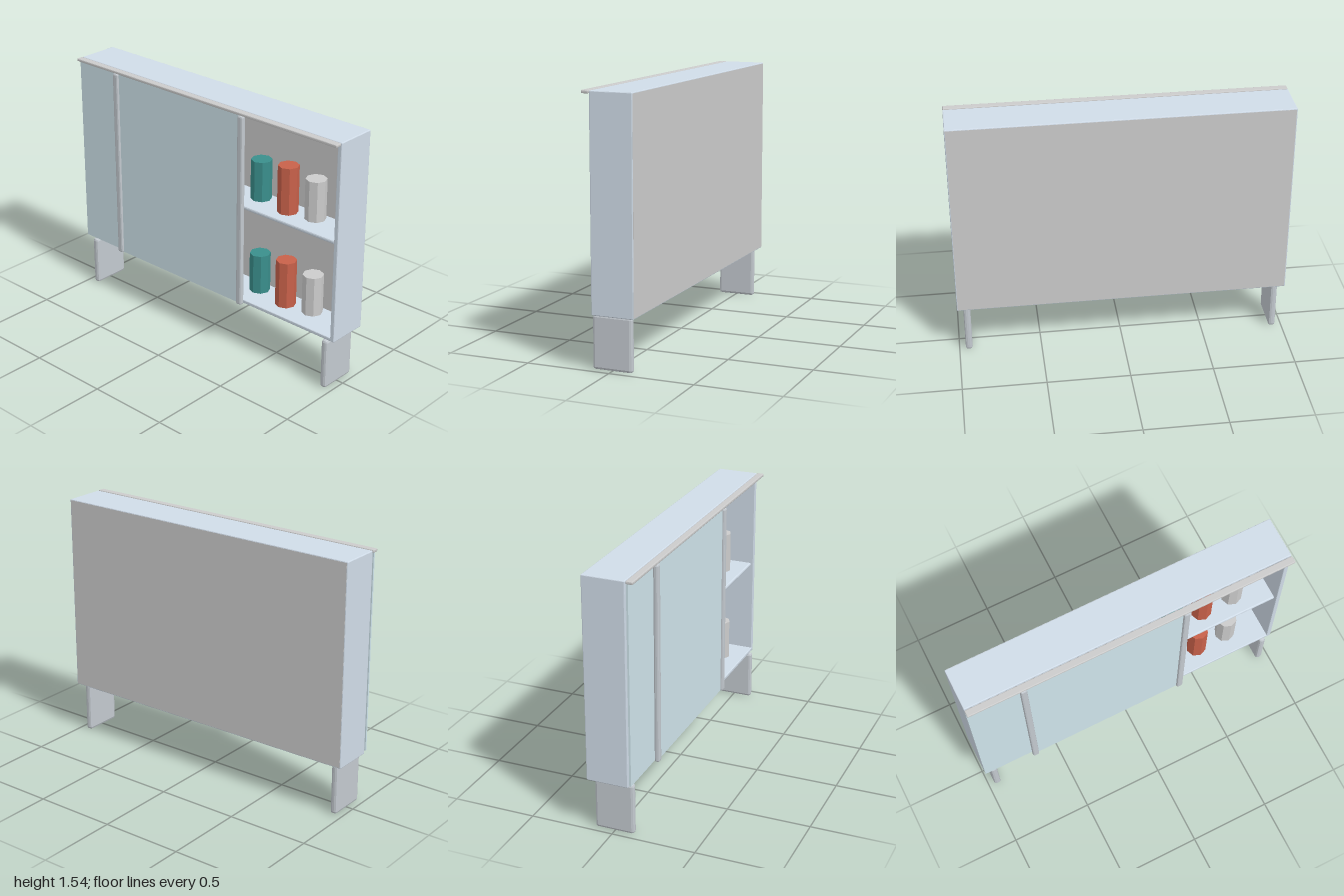
import * as THREE from 'three';
import { RoundedBoxGeometry } from 'three/addons/geometries/RoundedBoxGeometry.js';

const mat = (color) => new THREE.MeshStandardMaterial({ color, flatShading: true });

export function createModel() {
  const group = new THREE.Group();
  const grey = mat(0xcccccc);
  const casing = mat(0xd0dce8);
  const legPaint = mat(0xc3c9cf);
  const glass = mat(0xcfe4eb);
  const teal = mat(0x3a8f8c);
  const red = mat(0xc8614a);

  // Box given by its limits on each axis; a bevel chamfers its edges
  function box(name, material, [x0, x1], [y0, y1], [z0, z1], bevel = 0) {
    const size = [x1 - x0, y1 - y0, z1 - z0];
    const geometry = bevel
      ? new RoundedBoxGeometry(...size, 1, bevel)
      : new THREE.BoxGeometry(...size);
    const mesh = new THREE.Mesh(geometry, material);
    mesh.name = name;
    mesh.position.set((x0 + x1) / 2, (y0 + y1) / 2, (z0 + z1) / 2);
    group.add(mesh);
  }

  // Cabinet casing
  const depth = [-0.149, 0.103];
  box('topPanel', casing, [-1, 1], [1.515, 1.535], depth, 0.005);
  box('bottomPanel', casing, [-1, 1], [0.314, 0.336], depth, 0.005);
  box('leftSide', casing, [0.972, 1], [0.314, 1.535], depth, 0.005);
  box('rightSide', casing, [-1, -0.972], [0.314, 1.535], depth, 0.005);
  box('backPanel', grey, [-0.994, 0.994], [0.32, 1.529], [-0.15, -0.138]);
  box('shelf', casing, [-0.967, 0.967], [0.917, 0.94], [-0.138, 0.09], 0.008);

  // Slab legs
  for (const side of [-1, 1]) {
    const x = 0.941 * side;
    box(side > 0 ? 'leftLeg' : 'rightLeg', legPaint, [x - 0.021, x + 0.021], [0, 0.312], [-0.12, 0.117], 0.015);
  }

  // Sliding doors hanging from a rail, one in front of the other
  box('doorRail', grey, [-1, 1], [1.519, 1.537], [0.108, 0.15], 0.005);
  box('rearDoor', glass, [-1, 0.02], [0.33, 1.52], [0.112, 0.123]);
  box('frontDoor', glass, [-0.67, 0.325], [0.33, 1.52], [0.127, 0.14]);
  for (const x of [-0.668, 0.325]) {
    box('doorStile', legPaint, [x - 0.02, x + 0.02], [0.326, 1.519], [0.124, 0.155], 0.01);
  }

  // Canisters on both levels
  const canisters = [
    [0.335, 0.245, teal],
    [0.535, 0.29, red],
    [0.735, 0.245, grey],
  ];
  for (const y of [0.483, 1.083]) {
    for (const [x, height, material] of canisters) {
      const jar = new THREE.Mesh(new THREE.CylinderGeometry(0.062, 0.062, height, 8), material);
      jar.name = 'canister';
      jar.position.set(x, y, -0.03);
      group.add(jar);
    }
  }

  return group;
}
